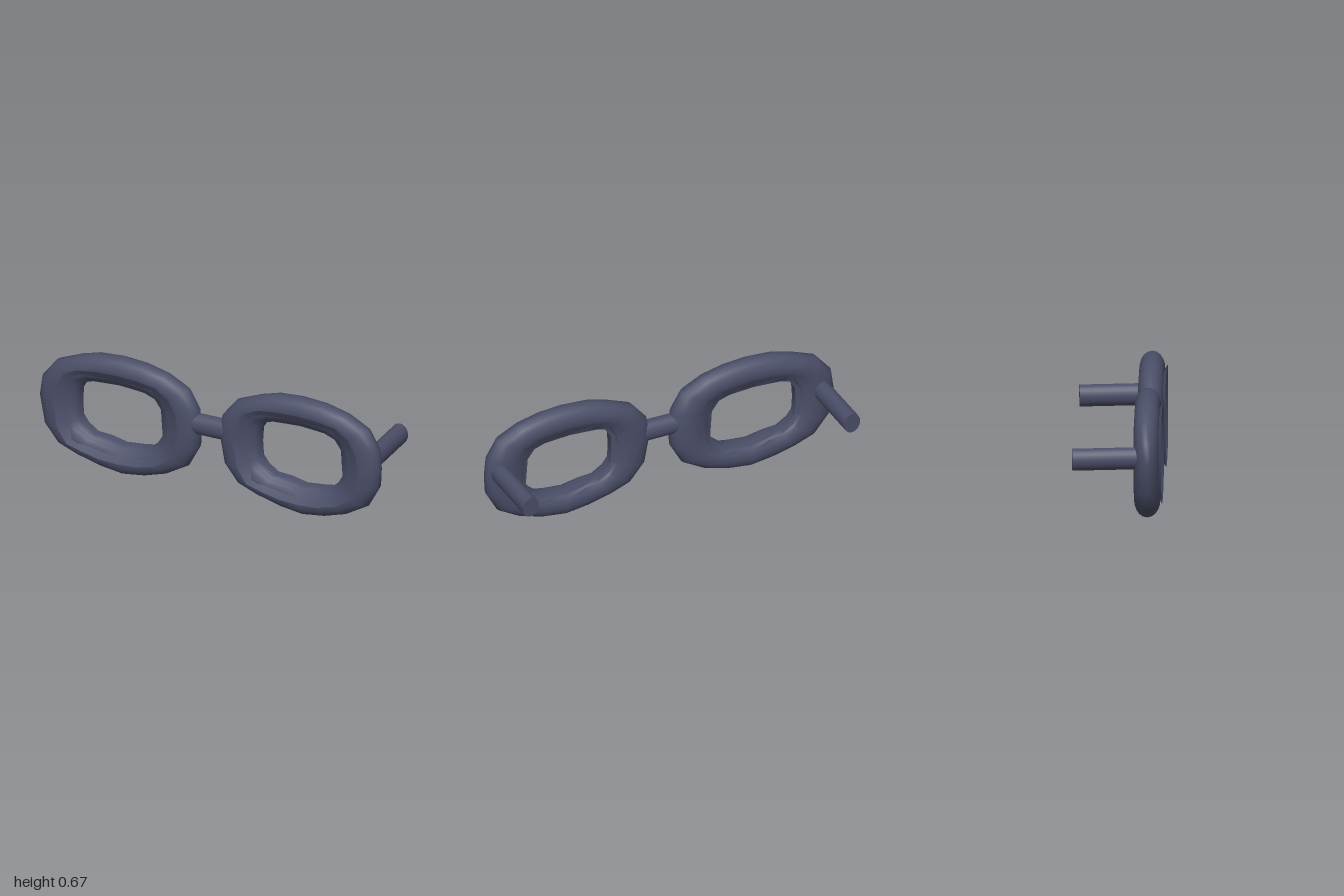
import * as THREE from 'three';
import { toCreasedNormals } from 'three/addons/utils/BufferGeometryUtils.js';

const slate = new THREE.MeshStandardMaterial({ color: 0x4a4e67, side: THREE.DoubleSide });
slate.name = 'slate blue';

const MID_Z = 0.155;

// Outlines of one rim, counter-clockwise from the +x side
const OUTER = [[-0.06, 0.35], [-0.07, 0.46], [-0.13, 0.565], [-0.25, 0.628], [-0.38, 0.66],
  [-0.52, 0.67], [-0.66, 0.66], [-0.77, 0.628], [-0.9, 0.575], [-0.985, 0.47],
  [-1, 0.36], [-0.97, 0.2], [-0.89, 0.1], [-0.77, 0.055], [-0.64, 0.02],
  [-0.51, 0.002], [-0.38, 0.02], [-0.25, 0.06], [-0.13, 0.13], [-0.065, 0.25]];
const LIP = [[-0.16, 0.35], [-0.17, 0.44], [-0.215, 0.52], [-0.29, 0.57], [-0.4, 0.587],
  [-0.52, 0.592], [-0.64, 0.588], [-0.75, 0.572], [-0.83, 0.535], [-0.87, 0.45],
  [-0.89, 0.36], [-0.865, 0.22], [-0.81, 0.135], [-0.72, 0.11], [-0.62, 0.088],
  [-0.51, 0.082], [-0.4, 0.09], [-0.3, 0.115], [-0.225, 0.16], [-0.175, 0.25]];
const HOLE = [[-0.285, 0.34], [-0.29, 0.42], [-0.33, 0.475], [-0.39, 0.495], [-0.46, 0.5],
  [-0.53, 0.505], [-0.62, 0.5], [-0.69, 0.495], [-0.735, 0.48], [-0.765, 0.43],
  [-0.77, 0.35], [-0.765, 0.27], [-0.735, 0.23], [-0.68, 0.19], [-0.6, 0.185],
  [-0.51, 0.165], [-0.41, 0.175], [-0.35, 0.185], [-0.31, 0.22], [-0.28, 0.27]];

const mix = (a, b, t) => [a[0] + (b[0] - a[0]) * t, a[1] + (b[1] - a[1]) * t];

// Sweeps a profile around the closed outline; pointAt(i, j) gives [x, y, z]
function sweep(profileCount, closedProfile, pointAt) {
  const n = OUTER.length, positions = [], index = [];
  for (let i = 0; i < n; i++)
    for (let j = 0; j < profileCount; j++) positions.push(...pointAt(i, j));
  const id = (i, j) => (i % n) * profileCount + (j % profileCount);
  const spans = closedProfile ? profileCount : profileCount - 1;
  for (let i = 0; i < n; i++)
    for (let j = 0; j < spans; j++) {
      const a = id(i, j), b = id(i + 1, j), c = id(i + 1, j + 1), d = id(i, j + 1);
      index.push(a, b, c, a, c, d);
    }
  const g = new THREE.BufferGeometry();
  g.setAttribute('position', new THREE.Float32BufferAttribute(positions, 3));
  g.setIndex(index);
  g.computeVertexNormals();
  return g;
}

// Rounded rim with an elliptical section
function rimGeometry() {
  const sides = 18;
  return sweep(sides, true, (i, j) => {
    const a = (j / sides) * Math.PI * 2;
    const inner = mix(HOLE[i], OUTER[i], 0.06);
    return [...mix(inner, OUTER[i], 0.5 + 0.5 * Math.cos(a)), MID_Z + 0.065 * Math.sin(a)];
  });
}

// Flared lining: [spread from hole to lip, z], front to back
function liningGeometry() {
  const profile = [[1, 0.233], [0.45, 0.206], [0.12, 0.184], [0, 0.165], [0, 0.118],
    [0.22, 0.11], [0.28, 0.098], [0.55, 0.088]];
  const g = sweep(profile.length, false, (i, j) =>
    [...mix(HOLE[i], LIP[i], profile[j][0]), profile[j][1]]);
  return toCreasedNormals(g, 0.75);
}

// Oval bar between two points
function bar(name, from, to, narrow, tall) {
  const a = new THREE.Vector3(...from), b = new THREE.Vector3(...to);
  const g = new THREE.CylinderGeometry(1, 1, a.distanceTo(b), 24);
  g.rotateX(Math.PI / 2);
  g.scale(narrow, tall, 1);
  const mesh = new THREE.Mesh(g, slate);
  mesh.name = name;
  mesh.position.copy(a).add(b).multiplyScalar(0.5);
  mesh.lookAt(b);
  return mesh;
}

export function createModel() {
  const model = new THREE.Group();
  model.name = 'eyeglasses';

  // Two identical rims side by side
  const rim = rimGeometry(), lining = liningGeometry();
  for (const [side, x] of [['right', 0], ['left', 1.055]]) {
    const eye = new THREE.Group();
    eye.name = side + 'Eyepiece';
    const outer = new THREE.Mesh(rim, slate);
    outer.name = side + 'Rim';
    const inner = new THREE.Mesh(lining, slate);
    inner.name = side + 'Lining';
    eye.add(outer, inner);
    eye.position.x = x;
    model.add(eye);
  }

  // Nose bridge
  model.add(bar('bridge', [-0.15, 0.382, MID_Z], [0.15, 0.382, MID_Z], 0.047, 0.058));

  // Short parallel temple arms
  for (const [name, x] of [['rightTemple', -0.912], ['leftTemple', 0.928]])
    model.add(bar(name, [x, 0.384, 0.14], [x - 0.022, 0.378, -0.229], 0.047, 0.058));

  return model;
}
